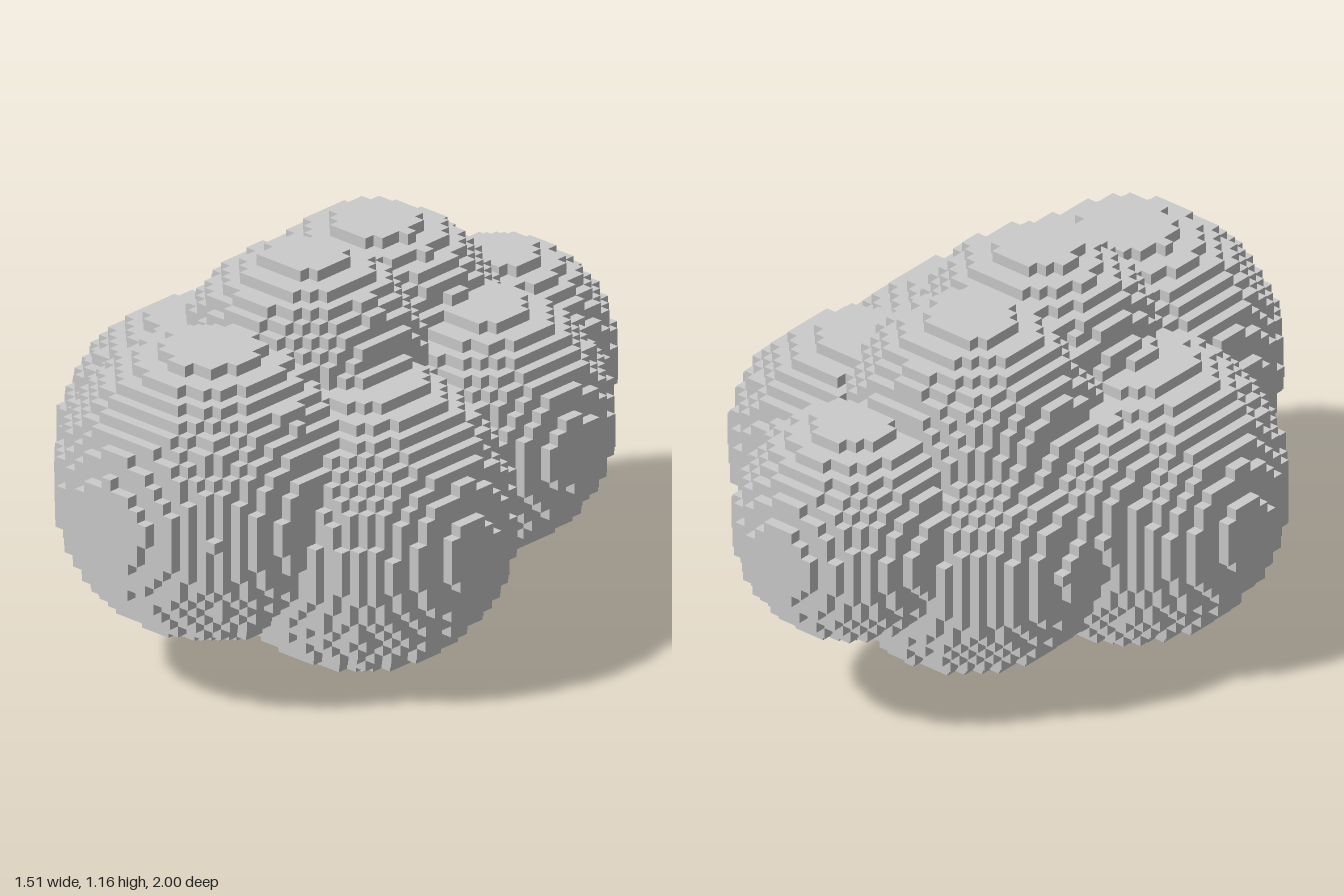
import * as THREE from 'three';

// Cell size and grid: 43 wide, 33 high, 57 deep
const S = 2 / 57, NX = 21, NY = 33, NZ = 28;

// Overlapping lobes: x, y, z, radius
const LOBES = [
  [0.04, 0.58, 0.56, 0.445],    // front
  [0.01, 0.8, 0.125, 0.36],     // top
  [-0.06, 0.76, -0.25, 0.37],   // top rear
  [0.31, 0.58, -0.31, 0.373],   // left rear
  [0.035, 0.58, -0.67, 0.335],  // back
  [0.3, 0.45, 0.2, 0.45],       // left
  [-0.3, 0.45, 0.18, 0.45],     // right
  [-0.1, 0.47, -0.3, 0.435],    // lower rear
  [-0.3, 0.56, -0.08, 0.31],    // right rear
  [0, 0.5, -0.03, 0.46],        // core
];

// A cell is filled when its centre lies inside any lobe
function filled(i, j, k) {
  if (Math.abs(i) > NX || j < 0 || j >= NY || Math.abs(k) > NZ) return false;
  const x = i * S, y = (j + 0.5) * S, z = k * S;
  return LOBES.some(([a, b, c, r]) => (x - a) ** 2 + (y - b) ** 2 + (z - c) ** 2 <= r * r);
}

// Square faces for every side of a filled cell that meets an empty one
function blockSurface() {
  const pos = [], nor = [];
  const corners = [[-1, -1], [1, -1], [1, 1], [-1, -1], [1, 1], [-1, 1]];
  for (let i = -NX; i <= NX; i++)
    for (let j = 0; j < NY; j++)
      for (let k = -NZ; k <= NZ; k++) {
        if (!filled(i, j, k)) continue;
        const centre = [i * S, (j + 0.5) * S, k * S];
        for (let axis = 0; axis < 3; axis++)
          for (const sign of [-1, 1]) {
            const n = [0, 0, 0];
            n[axis] = sign;
            if (filled(i + n[0], j + n[1], k + n[2])) continue;
            const u = (axis + 1) % 3, v = (axis + 2) % 3;
            for (const [a, b] of corners) {
              const p = [...centre];
              p[axis] += sign * S / 2;
              p[u] += a * sign * S / 2;
              p[v] += b * S / 2;
              pos.push(...p);
              nor.push(...n);
            }
          }
      }
  const geometry = new THREE.BufferGeometry();
  geometry.setAttribute('position', new THREE.Float32BufferAttribute(pos, 3));
  geometry.setAttribute('normal', new THREE.Float32BufferAttribute(nor, 3));
  return geometry;
}

export function createModel() {
  const group = new THREE.Group();
  group.name = 'blockCluster';
  const material = new THREE.MeshStandardMaterial({ color: 0xcccccc, flatShading: true });
  const body = new THREE.Mesh(blockSurface(), material);
  body.name = 'steppedLobes';
  group.add(body);
  return group;
}
